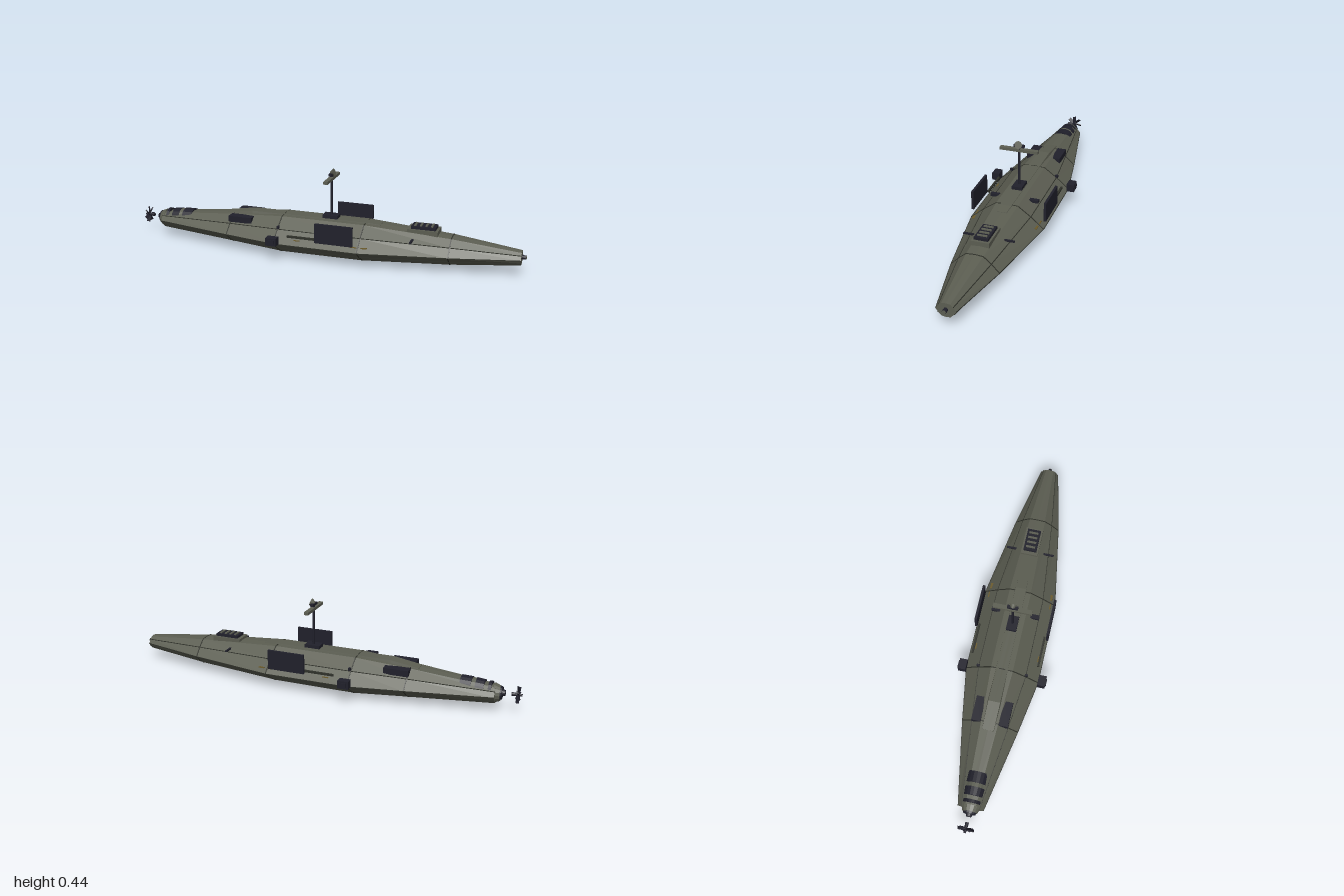
import * as THREE from 'three';

const mat = (name, color) => Object.assign(new THREE.MeshStandardMaterial({ color, flatShading: true }), { name });

export function createModel() {
  const root = new THREE.Group();
  const olive = mat('hull olive', 0x5c5e52);
  const dark = mat('equipment dark', 0x20202b);
  const seamMat = mat('seam grey', 0x2f312a);
  const tan = mat('marking ochre', 0x6b5a2a);

  const add = (name, geo, m, x = 0, y = 0, z = 0, parent = root) => {
    const mesh = new THREE.Mesh(geo, m);
    mesh.name = name;
    mesh.position.set(x, y, z);
    parent.add(mesh);
    return mesh;
  };
  // box given by its limits
  const box = (name, m, x0, x1, y0, y1, z0, z1) =>
    add(name, new THREE.BoxGeometry(x1 - x0, y1 - y0, z1 - z0), m, (x0 + x1) / 2, (y0 + y1) / 2, (z0 + z1) / 2);
  const drum = (name, m, x0, x1, r0, r1, y, n = 16) => {
    const g = new THREE.CylinderGeometry(r1, r0, x1 - x0, n);
    g.rotateZ(-Math.PI / 2);
    return add(name, g, m, (x0 + x1) / 2, y, 0);
  };

  // hull stations: x, half beam, chine y, deck y, deck half width, keel y, keel half width
  const stations = [
    [-0.88, 0.062, 0.09, 0.128, 0.025, 0.046, 0.025],
    [-0.47, 0.14, 0.087, 0.167, 0.042, 0.021, 0.05],
    [-0.2, 0.185, 0.085, 0.187, 0.055, 0.005, 0.07],
    [0.22, 0.185, 0.085, 0.187, 0.055, 0.007, 0.07],
    [0.65, 0.115, 0.089, 0.16, 0.04, 0.03, 0.045],
    [0.978, 0.046, 0.093, 0.124, 0.02, 0.058, 0.02],
  ];
  const stationAt = (x) => {
    let i = 0;
    while (i < stations.length - 2 && x > stations[i + 1][0]) i++;
    const a = stations[i], b = stations[i + 1], t = (x - a[0]) / (b[0] - a[0]);
    return a.map((v, k) => v + (b[k] - v) * t);
  };
  // cross-section running deck, +z side, keel, -z side
  const section = ([x, hw, cy, top, tw, bot, bw], grow = 0) => {
    const half = [
      [tw, top], [(tw + hw) / 2, (top + cy) / 2 + 0.004], [hw, cy],
      [(bw + hw) / 2 + 0.003, (bot + cy) / 2 + 0.002], [bw, bot + 0.003],
    ];
    const ring = [[0, top + 0.003], ...half, [0, bot], ...half.slice().reverse().map(([z, y]) => [-z, y])];
    return ring.map(([z, y]) => new THREE.Vector3(x, y + Math.sign(y - cy) * grow, z + Math.sign(z) * grow));
  };
  const loft = (rings) => {
    const p = [], n = rings[0].length;
    const tri = (...v) => v.forEach((q) => p.push(q.x, q.y, q.z));
    for (let i = 0; i < rings.length - 1; i++)
      for (let j = 0; j < n; j++) {
        const k = (j + 1) % n, a = rings[i], b = rings[i + 1];
        tri(a[j], a[k], b[k]);
        tri(a[j], b[k], b[j]);
      }
    const first = rings[0], last = rings[rings.length - 1];
    for (let j = 1; j < n - 1; j++) {
      tri(first[0], first[j + 1], first[j]);
      tri(last[0], last[j], last[j + 1]);
    }
    const g = new THREE.BufferGeometry();
    g.setAttribute('position', new THREE.Float32BufferAttribute(p, 3));
    g.computeVertexNormals();
    return g;
  };
  add('hull', loft(stations.map((s) => section(s))), olive);

  // panel seams around the hull
  for (const x of [-0.47, -0.2, 0.225, 0.65])
    add('ringSeam', loft([x - 0.0025, x + 0.0025].map((v) => section(stationAt(v), 0.0012))), seamMat);

  // panel seams along the hull
  const bar = (name, a, b, w, m) => {
    const mesh = add(name, new THREE.BoxGeometry(w, w, a.distanceTo(b)), m);
    mesh.position.copy(a).lerp(b, 0.5);
    mesh.lookAt(b);
  };
  const rings = stations.map((s) => section(s));
  for (let i = 0; i < rings.length - 1; i++)
    for (const j of [2, 3, 4, 8, 9, 10]) bar('longSeam', rings[i][j], rings[i + 1][j], 0.003, seamMat);

  // raised deck spine
  const spine = [[-0.51, 0.035, 0.168], [-0.37, 0.037, 0.19], [0.24, 0.034, 0.191], [0.3, 0.03, 0.186]];
  add('deckSpine', loft(spine.map(([x, w, y]) => [
    [0, y], [w * 0.8, y], [w, y - 0.03], [-w, y - 0.03], [-w * 0.8, y],
  ].map(([z, h]) => new THREE.Vector3(x, h, z)))), olive);

  // forward hatch with slats
  box('hatchBase', olive, 0.435, 0.585, 0.16, 0.188, -0.044, 0.044);
  box('hatch', dark, 0.452, 0.572, 0.185, 0.201, -0.034, 0.034);
  for (let i = 0; i < 4; i++) {
    const x = 0.466 + i * 0.027;
    box('hatchSlat', olive, x, x + 0.01, 0.2, 0.206, -0.024, 0.024);
  }

  // sensor mast
  box('mastBase', dark, 0.002, 0.08, 0.187, 0.207, -0.026, 0.026);
  add('mast', new THREE.CylinderGeometry(0.006, 0.006, 0.21, 10), dark, 0.042, 0.305, 0);
  box('antennaBar', olive, 0.031, 0.053, 0.385, 0.399, -0.097, 0.097);
  box('antennaMount', dark, 0.036, 0.05, 0.398, 0.412, -0.006, 0.006);
  box('sensorBlock', dark, 0.034, 0.05, 0.407, 0.419, -0.027, 0.027);
  drum('sensorDish', olive, 0.036, 0.056, 0.008, 0.019, 0.42, 20).rotation.z = 0.35;

  // mirrored equipment
  for (const s of [1, -1]) {
    const side = (name, m, x0, x1, y0, y1, z0, z1) =>
      box(name, m, x0, x1, y0, y1, Math.min(s * z0, s * z1), Math.max(s * z0, s * z1));
    side('sidePanel', dark, 0.017, 0.206, 0.117, 0.214, 0.178, 0.19);
    side('sidePod', dark, -0.224, -0.17, 0.087, 0.126, 0.183, 0.222);
    side('podCap', dark, -0.214, -0.18, 0.095, 0.118, 0.22, 0.226);
    side('deckLocker', dark, -0.476, -0.352, 0.14, 0.171, 0.045, 0.091);
    side('lockerRib', seamMat, -0.37, -0.28, 0.15, 0.162, 0.06, 0.068);
    side('midCleat', dark, 0.1, 0.122, 0.158, 0.172, 0.078, 0.123);
    side('foreCleat', dark, 0.466, 0.476, 0.144, 0.151, 0.07, 0.124);
    side('aftCleat', dark, -0.2, -0.19, 0.145, 0.158, 0.115, 0.13);
    side('sideRail', seamMat, -0.13, 0.03, 0.122, 0.132, 0.164, 0.174);
    for (const x of [-0.1, 0.19, 0.24])
      side('marking', tan, x, x + 0.03, 0.105, 0.108, 0.15, 0.164);
  }

  // stern collars and tail cone
  drum('aftCollar', dark, -0.86, -0.845, 0.046, 0.046, 0.1, 20);
  drum('aftRing', dark, -0.825, -0.785, 0.05, 0.054, 0.098, 20);
  drum('collarBand', olive, -0.785, -0.765, 0.05, 0.05, 0.1, 20);
  drum('foreRing', dark, -0.765, -0.712, 0.054, 0.056, 0.1, 20);
  drum('tailCone', olive, -0.9, -0.87, 0.036, 0.048, 0.092);
  drum('tailRing', dark, -0.908, -0.898, 0.03, 0.034, 0.095);
  drum('tailBoss', dark, -0.922, -0.906, 0.013, 0.018, 0.097);

  // propeller
  const prop = new THREE.Group();
  prop.name = 'propeller';
  prop.position.set(-0.975, 0.098, 0);
  root.add(prop);
  const hub = new THREE.CylinderGeometry(0.009, 0.006, 0.05, 12);
  hub.rotateZ(-Math.PI / 2);
  add('propellerHub', hub, dark, 0, 0, 0, prop);
  for (let i = 0; i < 7; i++) {
    const blade = new THREE.BoxGeometry(0.004, 0.034, 0.017);
    blade.rotateY(0.75);
    blade.translate(-0.006, 0.023, 0);
    add('propellerBlade', blade, dark, 0, 0, 0, prop).rotation.x = (i * Math.PI * 2) / 7;
  }

  // bow cap
  drum('bowCap', dark, 0.975, 0.998, 0.01, 0.01, 0.096);
  drum('bowLens', olive, 0.998, 1, 0.009, 0.009, 0.096);

  return root;
}
